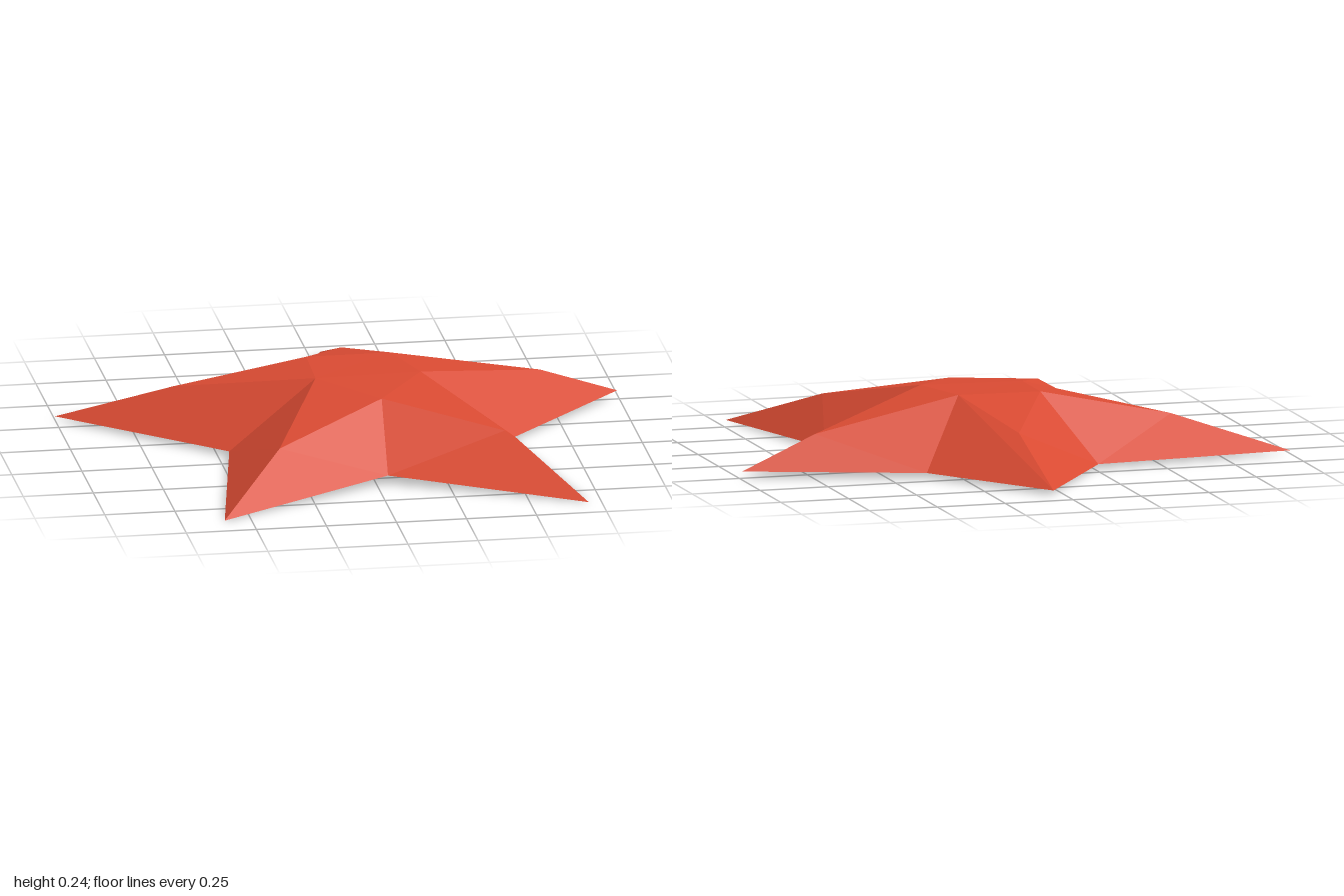
import * as THREE from 'three';

// Each arm, clockwise from above: outer tip, knee on its ridge, then the
// rim notch and the crown corner that follow it.
const ARMS = [
  { tip: [0.04, 0.02, -0.895], knee: [0.05, 0.16, -0.51], notch: [0.365, 0.02, -0.43], crown: [0.17, 0.245, -0.17], tipSplit: true },
  { tip: [0.995, 0.03, -0.265], knee: [0.71, 0.14, -0.21], notch: [0.56, 0.02, 0.165], crown: [0.24, 0.245, 0.06] },
  { tip: [0.705, 0.003, 0.885], knee: [0.47, 0.153, 0.49], notch: [0.04, 0.035, 0.57], crown: [0.065, 0.225, 0.28] },
  { tip: [-0.595, 0.005, 0.89], knee: [-0.345, 0.152, 0.56], notch: [-0.46, 0.02, 0.165], crown: [-0.135, 0.24, 0.06] },
  { tip: [-1, 0.015, -0.34], knee: [-0.6, 0.147, -0.21], notch: [-0.265, 0.02, -0.435], crown: [-0.13, 0.243, -0.175] },
];

function facetMesh(name, triangles, material) {
  const geometry = new THREE.BufferGeometry();
  geometry.setAttribute('position', new THREE.Float32BufferAttribute(triangles.flat(2), 3));
  geometry.computeVertexNormals();
  const mesh = new THREE.Mesh(geometry, material);
  mesh.name = name;
  return mesh;
}

export function createModel() {
  const group = new THREE.Group();
  group.name = 'starfish';
  const red = new THREE.MeshStandardMaterial({ color: 0xd84a32, flatShading: true, side: THREE.DoubleSide });
  red.name = 'coral red';

  // Arms: two sloping flanks and a sloping top, open underneath
  ARMS.forEach((arm, i) => {
    const { tip, knee, notch, crown, tipSplit } = arm;
    const prev = ARMS[(i + 4) % 5];
    const rightFlank = tipSplit
      ? [[tip, knee, crown], [tip, crown, notch]]
      : [[tip, knee, notch], [knee, crown, notch]];
    const leftFlank = [[tip, prev.notch, knee], [prev.notch, prev.crown, knee]];
    group.add(facetMesh('arm' + (i + 1), [...rightFlank, ...leftFlank, [knee, prev.crown, crown]], red));
  });

  // Crown: the nearly flat pentagon in the middle
  const c = ARMS.map((arm) => arm.crown);
  group.add(facetMesh('crown', [[c[4], c[3], c[0]], [c[3], c[1], c[0]], [c[3], c[2], c[1]]], red));

  return group;
}
